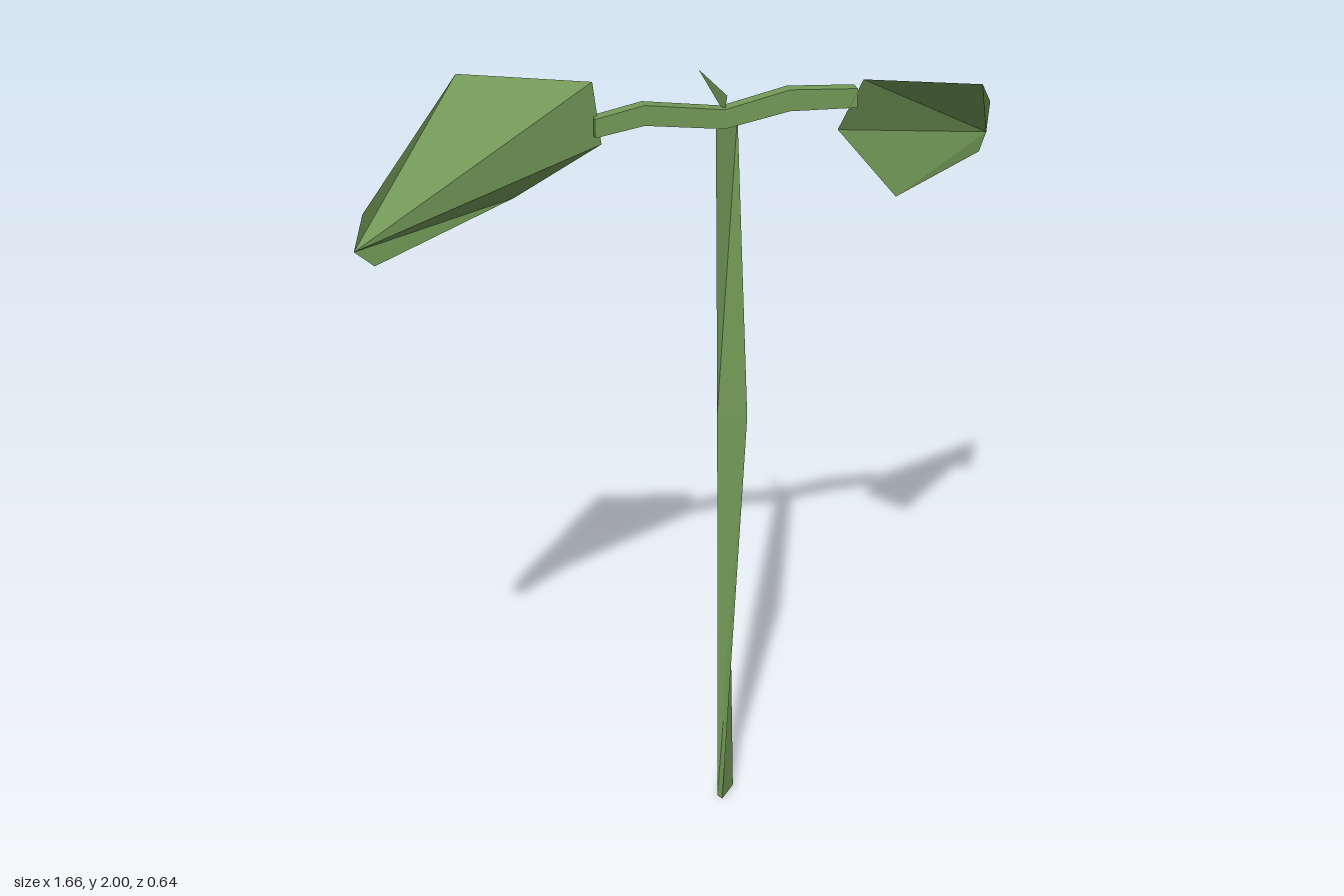
import * as THREE from 'three';

const material = new THREE.MeshStandardMaterial({
  color: 0x739a58, roughness: 0.9, flatShading: true, side: THREE.DoubleSide,
});

// Flat-shaded mesh from a list of triangles, each with three [x, y, z] corners
function facetMesh(name, triangles) {
  const geometry = new THREE.BufferGeometry();
  geometry.setAttribute('position', new THREE.Float32BufferAttribute(triangles.flat(2), 3));
  geometry.computeVertexNormals();
  const mesh = new THREE.Mesh(geometry, material);
  mesh.name = name;
  return mesh;
}

// Fan of triangles from one hub to consecutive rim points
function fan(hub, rim) {
  return rim.slice(1).map((p, i) => [hub, rim[i], p]);
}

// Skin over rings with equal point counts, capped at both ends
function loft(name, rings) {
  const triangles = [];
  for (let r = 0; r < rings.length - 1; r++) {
    const low = rings[r], high = rings[r + 1], n = low.length;
    for (let i = 0; i < n; i++) {
      const j = (i + 1) % n;
      triangles.push([low[i], low[j], high[j]], [low[i], high[j], high[i]]);
    }
  }
  const last = rings[rings.length - 1];
  triangles.push(...fan(rings[0][0], rings[0].slice(1).reverse()), ...fan(last[0], last.slice(1)));
  return facetMesh(name, triangles);
}

// Leaf stalk: upright rectangular sections along a bent path of [x, bottom, top, z]
function stalk(name, path) {
  const w = [0.007, 0.011]; // half width, square to the direction of the stalk
  return loft(name, path.map(([x, bottom, top, z]) => [
    [x + w[0], bottom, z - w[1]], [x + w[0], top, z - w[1]],
    [x - w[0], top, z + w[1]], [x - w[0], bottom, z + w[1]],
  ]));
}

export function createModel() {
  const plant = new THREE.Group();
  plant.name = 'seedling';

  // Three-sided stem, bent slightly forward at the middle
  plant.add(loft('stem', [
    [[0.01, 0, -0.008], [0.072, 0, -0.027], [0.012, 0, -0.026]],
    [[0.037, 1.1, 0.045], [0.033, 1.1, -0.012], [0, 1.1, -0.015]],
    [[0.035, 1.84, 0.014], [0.028, 1.85, -0.006], [-0.025, 1.85, 0.004]],
  ]));

  // Leaf stalks, arched to either side
  plant.add(stalk('leftStalk', [
    [0, 1.82, 1.865, 0.003], [0.125, 1.845, 1.895, 0.083], [0.258, 1.835, 1.88, 0.165],
  ]));
  plant.add(stalk('rightStalk', [
    [0, 1.82, 1.865, 0.003], [-0.155, 1.85, 1.897, -0.09], [-0.25, 1.835, 1.878, -0.148],
  ]));

  // Thin folded leaves: each fans out from its tip around the rim
  plant.add(facetMesh('leftLeaf', fan([0.83, 1.58, 0.113], [
    [0.83, 1.66, 0.12], [0.515, 1.85, 0.322], [0.262, 1.9, 0.183],
    [0.21, 1.79, 0.155], [0.35, 1.6, 0.215], [0.78, 1.55, 0.13],
  ])));
  plant.add(facetMesh('rightLeaf', fan([-0.835, 1.725, -0.275], [
    [-0.805, 1.8, -0.275], [-0.482, 2, -0.323], [-0.252, 1.96, -0.147],
    [-0.23, 1.81, -0.145], [-0.375, 1.695, -0.272], [-0.79, 1.68, -0.265],
  ])));

  // Small pointed bud above the fork
  const tip = [-0.006, 1.938, -0.063];
  const base = [[-0.008, 1.9, 0.022], [0.012, 1.885, -0.018], [0.004, 1.85, 0.004]];
  plant.add(facetMesh('bud', [...fan(tip, [...base, base[0]]), base]));

  return plant;
}
